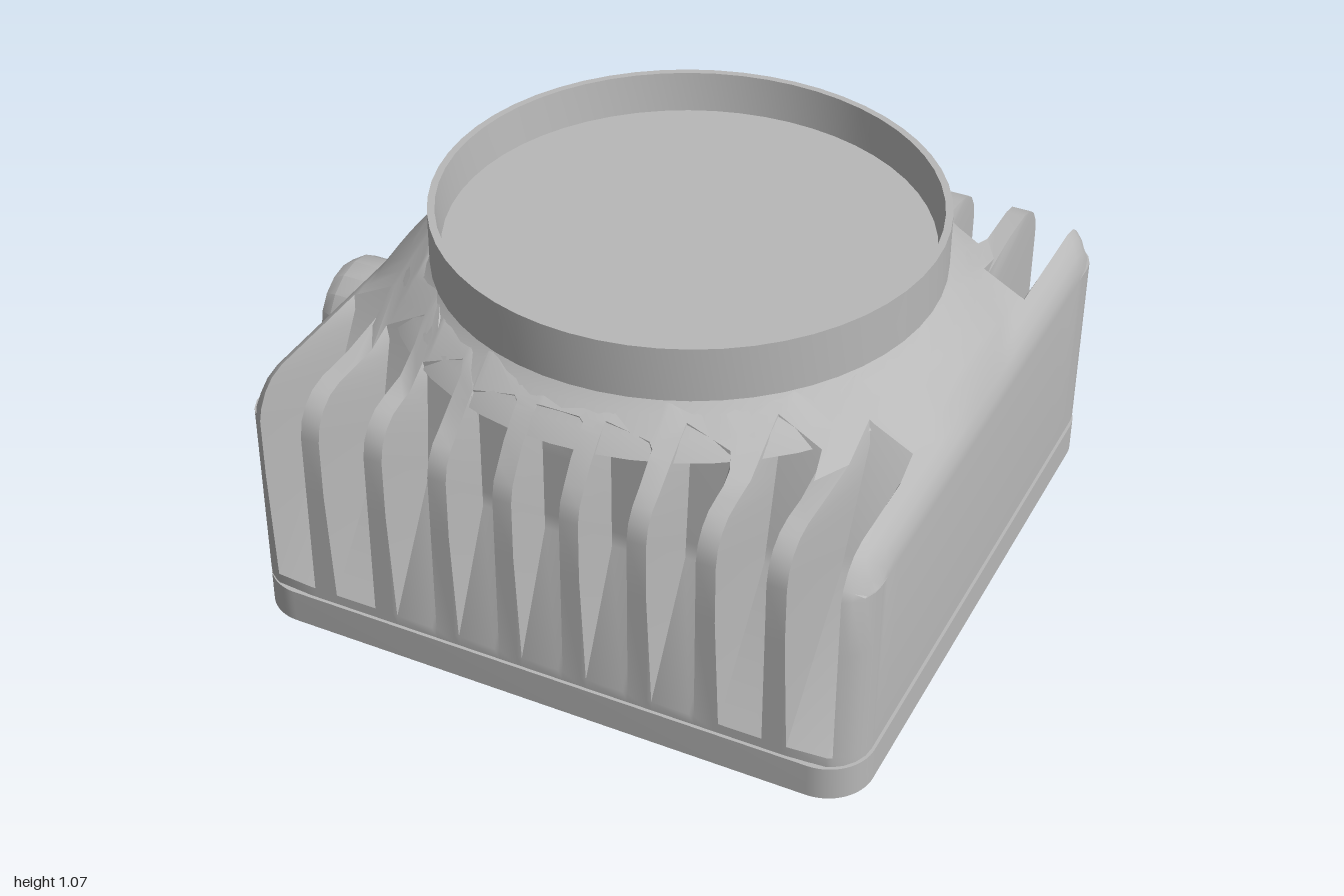
import * as THREE from 'three';
import { toCreasedNormals } from 'three/addons/utils/BufferGeometryUtils.js';

const CX = 0.11;      // centre of the housing in x
const HALF = 0.88;    // half width of the housing
const Y0 = 0.11;      // underside of the housing
const R = 0.12;       // edge rounding
const PITCH = 0.1875; // spacing of the cooling slots
const slotEnd = [0.74, 0.73, 0.66, 0.53, 0.39];  // where each slot meets the top
const slotMid = [0.74, 0.73, 0.69, 0.62, 0.57];  // depth of each slot halfway up

const lerp = THREE.MathUtils.lerp;
const edgeDrop = t => (t >= R ? 0 : R - Math.sqrt(R * R - (R - Math.max(t, 0)) ** 2));

// half depth of the housing at u, with rounded plan corners
const depthAt = u => 0.885 - edgeDrop(HALF - Math.abs(u));

// height of the top: flat shoulder, rounded edges and a cone up to the collar
function topHeight(u, z) {
  const d = Math.hypot(u, z);
  const cone = THREE.MathUtils.clamp((0.86 - d) / 0.18, 0, 1) * 0.145;
  const edge = Math.min(R, edgeDrop(HALF - Math.abs(u)) + edgeDrop(depthAt(u) - z));
  return 0.765 + cone - edge;
}

// cross-section at u as [z, y] pairs, from front bottom over the top to the back
function section(u, slot) {
  const zo = depthAt(u);
  const k = Math.min(4, Math.round(Math.abs(u) / PITCH));
  const zEnd = slotEnd[k], zMid = slotMid[k];
  const half = [[zo, Y0], [zo, 0.14]];
  const yEnd = topHeight(u, zEnd);
  if (slot) {
    half.push([zMid, 0.47]);
    for (let i = 0; i < 8; i++) {
      half.push([lerp(zMid, zEnd, (i + 1) / 8), lerp(0.47, yEnd, (i + 1) / 8)]);
    }
  } else {
    half.push([zo, 0.47]);
    const zs = [zo, zo - 0.01, zo - 0.035, zo - 0.07, zo - R];
    for (let i = 1; i <= 3; i++) zs.push(lerp(zo - R, zEnd, i / 3));
    zs.forEach(z => half.push([z, topHeight(u, z)]));
  }
  for (let i = 1; i <= 8; i++) {
    const z = lerp(zEnd, 0, i / 8);
    half.push([z, topHeight(u, z)]);
  }
  return [...half, ...half.slice(0, -1).reverse().map(([z, y]) => [-z, y])];
}

// housing skin lofted along x, with slots cut into the front and back
function housingGeometry() {
  const stations = [-0.88, -0.876, -0.862, -0.84].map(u => [u, false]);
  for (let k = -4; k <= 4; k++) {
    const c = k * PITCH;
    stations.push([c - 0.067, false], [c - 0.053, true], [c + 0.053, true], [c + 0.067, false]);
  }
  [0.84, 0.862, 0.876, 0.88].forEach(u => stations.push([u, false]));
  const rows = stations.map(([u, slot]) => section(u, slot).map(([z, y]) => [CX + u, y, z]));
  // flat side wall at +x
  rows.push(rows[rows.length - 1].map(([x, , z]) => [x, Y0, z]));

  const n = rows[0].length, index = [];
  for (let i = 0; i < rows.length - 1; i++) {
    for (let j = 0; j < n - 1; j++) {
      const a = i * n + j, b = a + n;
      index.push(a, b, a + 1, b, b + 1, a + 1);
    }
  }
  const g = new THREE.BufferGeometry();
  g.setAttribute('position', new THREE.Float32BufferAttribute(rows.flat(2), 3));
  g.setIndex(index);
  return toCreasedNormals(g, 0.6);
}

// rounded rectangle in plan, with optional round holes [x, z, radius]
function slab(half, height, y, holes = []) {
  const r = R + 0.01, c = half - r, s = new THREE.Shape();
  s.absarc(c, c, r, 0, Math.PI / 2);
  s.absarc(-c, c, r, Math.PI / 2, Math.PI);
  s.absarc(-c, -c, r, Math.PI, Math.PI * 1.5);
  s.absarc(c, -c, r, Math.PI * 1.5, Math.PI * 2);
  for (const [x, z, hr] of holes) s.holes.push(new THREE.Path().absarc(x, -z, hr, 0, Math.PI * 2, true));
  const g = new THREE.ExtrudeGeometry(s, { depth: height, bevelEnabled: false, curveSegments: 8 });
  return toCreasedNormals(g.rotateX(-Math.PI / 2).translate(CX, y, 0), 0.6);
}

// turned part from [radius, height] pairs
function turned(points, segments) {
  const g = new THREE.LatheGeometry(points.map(p => new THREE.Vector2(...p)), segments);
  return toCreasedNormals(g, 0.6);
}

export function createModel() {
  const group = new THREE.Group();
  const grey = new THREE.MeshStandardMaterial({ color: 0xb8b8b8 });
  grey.name = 'grey';
  const add = (name, geometry) => {
    const mesh = new THREE.Mesh(geometry, grey);
    mesh.name = name;
    group.add(mesh);
    return mesh;
  };

  // base plate with screw holes, and the seam above it
  const corners = [[1, 1], [1, -1], [-1, 1], [-1, -1]].map(([x, z]) => [x * 0.78, z * 0.78]);
  const smallHoles = [[0.63, -0.52], [0, -0.66], [0, 0.45], [0.61, 0.48]];
  add('basePlate', slab(0.885, 0.1, 0, [
    ...corners.map(([x, z]) => [x, z, 0.05]),
    ...smallHoles.map(([x, z]) => [x, z, 0.022]),
  ]));
  add('seam', slab(0.872, 0.03, 0.09));
  for (const [x, z] of corners) {
    add('screw', new THREE.CylinderGeometry(0.036, 0.036, 0.07, 8).translate(CX + x, 0.06, z));
  }

  // finned housing
  add('finnedHousing', housingGeometry());

  // side wall with an opening for the connector
  const wall = new THREE.Shape(section(-HALF, false).map(([z, y]) => new THREE.Vector2(z, y)));
  const [pz, py0, py1] = [0.27, 0.18, 0.58];
  wall.holes.push(new THREE.Path([[-pz, py0], [-pz, py1], [pz, py1], [pz, py0]].map(p => new THREE.Vector2(...p))));
  add('connectorWall', new THREE.ShapeGeometry(wall).rotateY(-Math.PI / 2).translate(CX - HALF, 0, 0));

  // pocket behind the opening, facing inward
  const pocket = new THREE.BoxGeometry(0.1, py1 - py0, 2 * pz).scale(1, 1, -1);
  pocket.computeVertexNormals();
  add('connectorPocket', pocket.translate(CX - HALF + 0.05, (py0 + py1) / 2, 0));

  // connector pointing to -x
  const connector = add('connector', turned([
    [0.13, 0], [0.13, 0.13], [0.16, 0.15], [0.16, 0.29], [0.135, 0.33], [0.11, 0.33], [0.1, 0.315], [0, 0.315],
  ], 16));
  connector.rotation.z = Math.PI / 2;
  connector.position.set(-0.67, 0.395, 0);

  // neck, then the collar with its recessed disc
  add('neck', turned([[0.8, 0.8], [0.76, 0.845], [0.71, 0.88], [0.675, 0.92]], 48)).position.x = CX;
  add('collar', turned([
    [0.65, 0.91], [0.692, 0.91], [0.692, 1.065], [0.672, 1.065], [0.66, 0.95],
  ], 56)).position.x = CX;
  const disc = add('recessedDisc', new THREE.CircleGeometry(0.665, 56).rotateX(-Math.PI / 2));
  disc.position.set(CX, 0.95, 0);

  return group;
}
